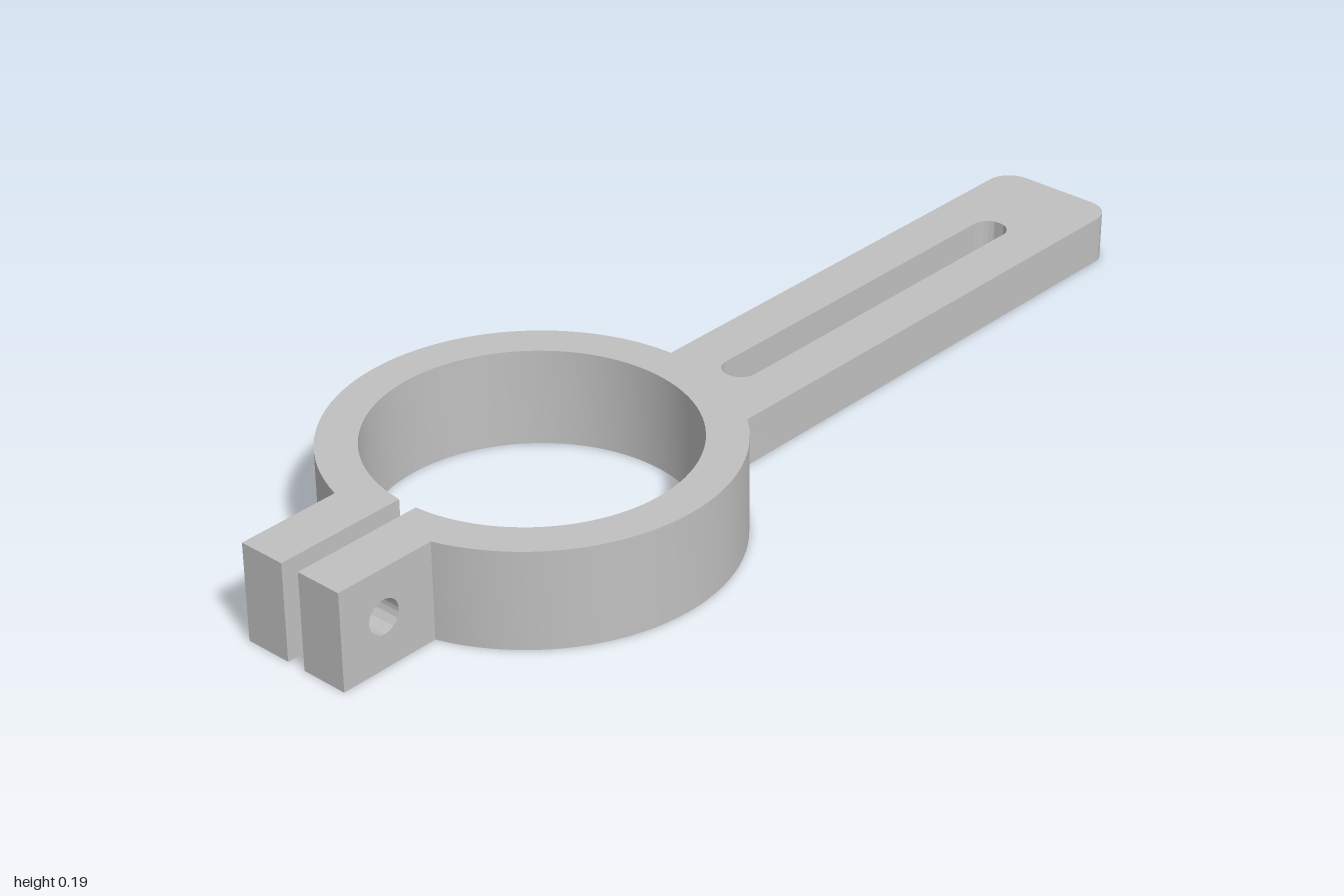
import * as THREE from 'three';
import { toCreasedNormals } from 'three/addons/utils/BufferGeometryUtils.js';

const CX = -0.458;        // ring centre
const R = 0.36, r = 0.2875;
const H = 0.185, ARM_H = 0.0925;
const GAP = 0.019;        // half width of the clamp slit

const steel = new THREE.MeshStandardMaterial({ color: 0xc0c0c0 });
steel.name = 'plain grey';

function extrude(shape, depth) {
  return new THREE.ExtrudeGeometry(shape, { depth, bevelEnabled: false, curveSegments: 48 });
}

function part(name, geometry) {
  const mesh = new THREE.Mesh(toCreasedNormals(geometry, 0.6), steel);
  mesh.name = name;
  return mesh;
}

export function createModel() {
  const group = new THREE.Group();
  group.name = 'slottedClampBracket';

  // split ring, open towards -x
  const a = Math.PI - Math.asin(GAP / R), b = Math.PI - Math.asin(GAP / r);
  const ring = new THREE.Shape();
  ring.absarc(CX, 0, R, -a, a, false);
  ring.absarc(CX, 0, r, b, -b, true);
  ring.closePath();
  group.add(part('clampRing', extrude(ring, H).rotateX(-Math.PI / 2)));

  // pair of clamp lugs with a bolt hole
  const lug = new THREE.Shape();
  lug.moveTo(-1, 0).lineTo(-0.8, 0).lineTo(-0.8, H).lineTo(-1, H).closePath();
  const bolt = new THREE.Path();
  bolt.absarc(-0.908, 0.096, 0.032, 0, Math.PI * 2, true);
  lug.holes.push(bolt);
  const lugDepth = 0.11 - GAP;
  [['leftLugFront', GAP], ['rightLugBack', -0.11]].forEach(([, z], i) => {
    group.add(part(i ? 'backLug' : 'frontLug', extrude(lug, lugDepth).translate(0, 0, z)));
  });

  // flat arm: rounded corners, inner end follows the ring
  const w = 0.128, c = 0.05, t = Math.asin(0.09 / R);
  const arm = new THREE.Shape();
  arm.moveTo(-0.065, -w);
  arm.lineTo(1 - c, -w);
  arm.absarc(1 - c, -w + c, c, -Math.PI / 2, 0, false);
  arm.absarc(1 - c, w - c, c, 0, Math.PI / 2, false);
  arm.lineTo(-0.065, w);
  arm.quadraticCurveTo(-0.1, w, CX + R * Math.cos(t), 0.09);
  arm.absarc(CX, 0, R, t, -t, true);
  arm.quadraticCurveTo(-0.1, -w, -0.065, -w);

  // long adjustment slot
  const s = 0.034, x0 = 0.032 + s, x1 = 0.813 - s;
  const slot = new THREE.Path();
  slot.absarc(x0, 0, s, Math.PI / 2, Math.PI * 1.5, false);
  slot.absarc(x1, 0, s, -Math.PI / 2, Math.PI / 2, false);
  slot.closePath();
  arm.holes.push(slot);
  group.add(part('slottedArm', extrude(arm, ARM_H).rotateX(-Math.PI / 2)));

  return group;
}
